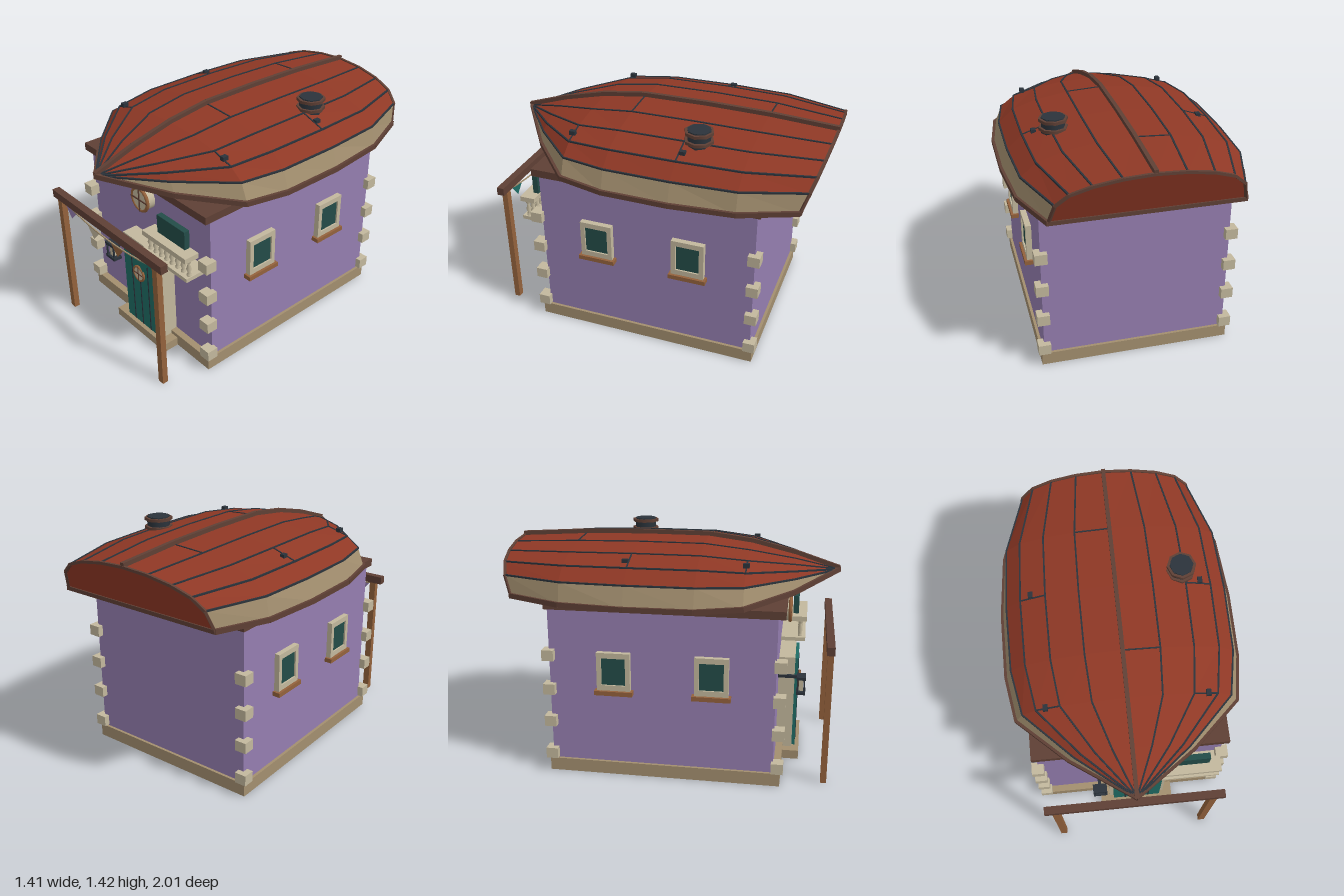
import * as THREE from 'three';

const mat = (name, color, double) => {
  const m = new THREE.MeshStandardMaterial({ color });
  m.name = name;
  if (double) m.side = THREE.DoubleSide;
  return m;
};

export function createModel() {
  const M = {
    red: mat('hull red', 0x8f3825, true),
    purple: mat('plaster purple', 0x957eb0),
    tan: mat('stone tan', 0xa38f6f),
    cream: mat('trim cream', 0xc3b89d, true),
    brown: mat('dark wood', 0x5f4035),
    copper: mat('warm wood', 0x94623c, true),
    teal: mat('door teal', 0x1f6c65, true),
    glass: mat('dark glass', 0x234c48),
    slate: mat('slate', 0x2b333b),
  };
  const root = new THREE.Group();
  const group = (name) => {
    const g = new THREE.Group();
    g.name = name;
    root.add(g);
    return g;
  };
  const add = (parent, name, geo, m, x = 0, y = 0, z = 0) => {
    const o = new THREE.Mesh(geo, m);
    o.name = name;
    o.position.set(x, y, z);
    parent.add(o);
    return o;
  };
  // box given by its min and max on each axis
  const box = (parent, name, m, x0, x1, y0, y1, z0, z1) =>
    add(parent, name, new THREE.BoxGeometry(x1 - x0, y1 - y0, z1 - z0), m,
      (x0 + x1) / 2, (y0 + y1) / 2, (z0 + z1) / 2);
  // square bar between two points
  const bar = (parent, name, m, a, b, w, h = w) => {
    const o = add(parent, name, new THREE.BoxGeometry(w, h, a.distanceTo(b) + w * 0.4), m);
    o.position.copy(a).add(b).multiplyScalar(0.5);
    o.lookAt(b);
  };
  const path = (parent, name, m, pts, w, h) => {
    for (let i = 1; i < pts.length; i++) bar(parent, name, m, pts[i - 1], pts[i], w, h);
  };

  // house body
  const house = group('house');
  box(house, 'plinth', M.tan, -0.583, 0.58, 0, 0.08, -0.697, 0.708);
  box(house, 'walls', M.purple, -0.565, 0.563, 0.08, 1.03, -0.68, 0.665);
  box(house, 'wallPlate', M.brown, -0.58, 0.577, 1.03, 1.077, -0.7, 0.707);
  for (const x of [-0.567, 0.563])
    for (const z of [-0.68, 0.69])
      for (const y of [0.12, 0.333, 0.538, 0.752])
        add(house, 'cornerStone', new THREE.BoxGeometry(0.074, 0.066, 0.072), M.cream, x, y, z);

  // side windows
  for (const s of [-1, 1])
    for (const z of [0.295, -0.285]) {
      const w = group('sideWindow');
      w.position.set(s * 0.563, 0, z);
      for (const k of [-1, 1]) {
        add(w, 'windowJamb', new THREE.BoxGeometry(0.07, 0.235, 0.028), M.cream, 0, 0.667, k * 0.086);
        add(w, 'windowRail', new THREE.BoxGeometry(0.07, 0.033, 0.2), M.cream, 0, 0.669 + k * 0.1, 0);
      }
      add(w, 'windowPane', new THREE.BoxGeometry(0.05, 0.17, 0.145), M.glass, 0, 0.67, 0);
      add(w, 'windowSill', new THREE.BoxGeometry(0.09, 0.027, 0.23), M.copper, s * 0.005, 0.538, 0);
    }

  // door and step
  const door = group('door');
  box(door, 'step', M.tan, -0.2, 0.285, 0, 0.056, 0.69, 0.81);
  box(door, 'doorFrame', M.cream, -0.14, 0.225, 0.056, 0.66, 0.66, 0.765);
  box(door, 'doorLeaf', M.teal, -0.113, 0.2, 0.058, 0.648, 0.74, 0.785);
  for (const x of [-0.035, 0.043, 0.122])
    box(door, 'plankGap', M.slate, x - 0.004, x + 0.004, 0.06, 0.605, 0.78, 0.788);

  // round windows
  const roundWindow = (name, x, y, z, r, t) => {
    const g = group(name);
    g.position.set(x, y, z);
    add(g, 'ring', new THREE.TorusGeometry(r - t, t, 8, 24), M.copper);
    const d = add(g, 'pane', new THREE.CylinderGeometry(r - t, r - t, t, 24), M.cream);
    d.rotation.x = Math.PI / 2;
    add(g, 'bar', new THREE.BoxGeometry(r * 1.9, t * 0.8, t * 1.8), M.brown);
    add(g, 'bar', new THREE.BoxGeometry(t * 0.8, r * 1.9, t * 1.8), M.brown);
  };
  roundWindow('doorPorthole', 0.044, 0.458, 0.795, 0.056, 0.008);
  roundWindow('gableWindow', 0, 0.935, 0.72, 0.084, 0.011);
  const well = add(house, 'gableWindowBack', new THREE.CylinderGeometry(0.073, 0.073, 0.06, 24), M.cream, 0, 0.935, 0.69);
  well.rotation.x = Math.PI / 2;

  // wall lantern
  const lantern = group('lantern');
  lantern.position.set(-0.201, 0, 0.807);
  for (const y of [0.465, 0.56])
    add(lantern, 'lanternCap', new THREE.BoxGeometry(0.088, 0.018, 0.056), M.slate, 0, y, 0);
  add(lantern, 'lanternLight', new THREE.BoxGeometry(0.035, 0.09, 0.026), M.cream, 0, 0.512, 0);
  for (const x of [-0.034, 0.034])
    for (const z of [-0.02, 0.02])
      add(lantern, 'lanternPost', new THREE.BoxGeometry(0.009, 0.09, 0.009), M.slate, x, 0.512, z);
  add(lantern, 'lanternArm', new THREE.BoxGeometry(0.02, 0.018, 0.13), M.slate, 0, 0.56, -0.08);

  // balcony
  const balcony = group('balcony');
  box(balcony, 'balconyFloor', M.cream, 0.13, 0.54, 0.683, 0.707, 0.66, 0.82);
  box(balcony, 'balconyRail', M.cream, 0.15, 0.54, 0.81, 0.842, 0.73, 0.825);
  box(balcony, 'balconyPane', M.glass, 0.225, 0.47, 0.84, 0.958, 0.735, 0.77);
  const profile = [[0.014, 0], [0.014, 0.012], [0.008, 0.022], [0.016, 0.045], [0.007, 0.078], [0.014, 0.092], [0.014, 0.105]];
  const baluster = new THREE.LatheGeometry(profile.map(([x, y]) => new THREE.Vector2(x, y)), 8);
  for (let i = 0; i < 8; i++) add(balcony, 'baluster', baluster, M.cream, 0.17 + i * 0.05, 0.706, 0.785);

  // porch frame
  const porch = group('porch');
  box(porch, 'porchBeam', M.brown, -0.54, 0.538, 0.82, 0.87, 0.942, 0.988);
  for (const x of [-0.475, 0.472])
    box(porch, 'porchPost', M.copper, x - 0.021, x + 0.021, 0, 0.825, 0.948, 0.984);

  // bunting hung on a sagging string
  const sag = (x) => 0.762 + 0.05 * (x / 0.45) ** 2;
  const string = [];
  for (let i = 0; i <= 12; i++) {
    const x = -0.45 + i * 0.075;
    string.push(new THREE.Vector3(x, sag(x), 0.965));
  }
  path(porch, 'buntingString', M.tan, string, 0.007);
  const purpleFlag = mat('plaster purple', 0x957eb0, true);
  [[-0.38, purpleFlag], [-0.143, M.cream], [0.097, M.copper], [0.34, M.teal]].forEach(([x, m]) => {
    const l = x - 0.064, r = x + 0.064;
    const tri = new THREE.Shape([new THREE.Vector2(l, sag(l)), new THREE.Vector2(x, sag(x) - 0.073), new THREE.Vector2(r, sag(r))]);
    add(porch, 'buntingFlag', new THREE.ShapeGeometry(tri), m, 0, 0, 0.967);
  });

  // upturned boat: z, gunwale half width and height, chine half width and height, crown height
  const stations = [
    [1, 0, 1.2, 0, 1.2, 1.2],
    [0.74, 0.36, 1.135, 0.33, 1.205, 1.285],
    [0.47, 0.645, 1.1, 0.6, 1.21, 1.35],
    [0.2, 0.69, 1.085, 0.65, 1.21, 1.385],
    [-0.2, 0.692, 1.083, 0.655, 1.21, 1.387],
    [-0.58, 0.66, 1.085, 0.635, 1.21, 1.378],
    [-0.9, 0.545, 1.095, 0.515, 1.21, 1.353],
  ];
  const arc = [[1, 0], [0.86, 0.45], [0.63, 0.74], [0.33, 0.93], [0, 1]];
  const rings = stations.map(([z, g, gy, c, cy, top], i) => {
    const zAt = (y) => (i === 6 ? z - 0.09 * (y - 1.09) / 0.26 : z);
    const half = [[g, gy], ...arc.map(([u, v]) => [c * u, cy + (top - cy) * v])];
    const left = half.map(([x, y]) => new THREE.Vector3(-x, y, zAt(y)));
    const right = half.slice(0, -1).reverse().map(([x, y]) => new THREE.Vector3(x, y, zAt(y)));
    return [...left, ...right];
  });
  const soup = (tris) => {
    const g = new THREE.BufferGeometry().setFromPoints(tris);
    g.computeVertexNormals();
    return g;
  };
  const skin = (rs, cols, inward) => {
    const t = [];
    for (let i = 0; i < rs.length - 1; i++)
      for (const j of cols) {
        const a = rs[i][j], b = rs[i][j + 1], c = rs[i + 1][j + 1], d = rs[i + 1][j];
        if (inward) t.push(a, c, b, a, d, c);
        else t.push(a, b, c, a, c, d);
      }
    return soup(t);
  };
  const boat = group('boatRoof');
  add(boat, 'hullPlanks', skin(rings, [1, 2, 3, 4, 5, 6, 7, 8]), M.red);
  add(boat, 'topStrakes', skin(rings, [0, 9]), M.tan);
  const inner = rings.map((r) => r.map((p) => new THREE.Vector3(p.x * 0.985, p.y - 0.01, p.z)));
  add(boat, 'hullLining', skin(inner, [0, 1, 2, 3, 4, 5, 6, 7, 8, 9], true), M.slate);

  // stern board with its edging
  const stern = rings[6];
  const fan = [];
  for (let j = 1; j < 10; j++) fan.push(stern[0], stern[j + 1], stern[j]);
  add(boat, 'sternBoard', soup(fan), M.red);
  path(boat, 'sternEdge', M.brown, stern, 0.016);
  bar(boat, 'sternRail', M.brown, stern[0], stern[10], 0.024);

  // seams, gunwales and keel run from bow to stern
  const column = (j, dy = 0) => rings.map((r) => r[j].clone().setY(r[j].y + dy));
  for (const j of [1, 2, 3, 4, 6, 7, 8, 9]) path(boat, 'plankSeam', M.slate, column(j), 0.01);
  for (const j of [0, 10]) path(boat, 'gunwale', M.brown, column(j), 0.024, 0.03);
  path(boat, 'keel', M.brown, column(5, 0.01), 0.024, 0.03);
  // plank butt joints: station, column
  for (const [i, j] of [[5, 4], [4, 2], [4, 7], [3, 5], [2, 2], [2, 7]])
    bar(boat, 'buttJoint', M.slate, rings[i][j], rings[i][j + 1], 0.008);
  // cleats
  for (const [x, y, z] of [[0.5, 1.315, -0.22], [0.46, 1.305, 0.47]])
    for (const s of [-1, 1])
      add(boat, 'cleat', new THREE.BoxGeometry(0.028, 0.025, 0.036), M.slate, s * x, y, z);

  // stubby chimney
  const chimney = group('chimney');
  chimney.position.set(0.392, 0, -0.28);
  add(chimney, 'pipe', new THREE.CylinderGeometry(0.07, 0.07, 0.13, 8), M.slate, 0, 1.355, 0);
  for (const y of [1.352, 1.405])
    add(chimney, 'collar', new THREE.CylinderGeometry(0.086, 0.086, 0.018, 8), M.brown, 0, y, 0);
  add(chimney, 'cap', new THREE.CylinderGeometry(0.066, 0.066, 0.012, 16), M.slate, 0, 1.415, 0);

  return root;
}
